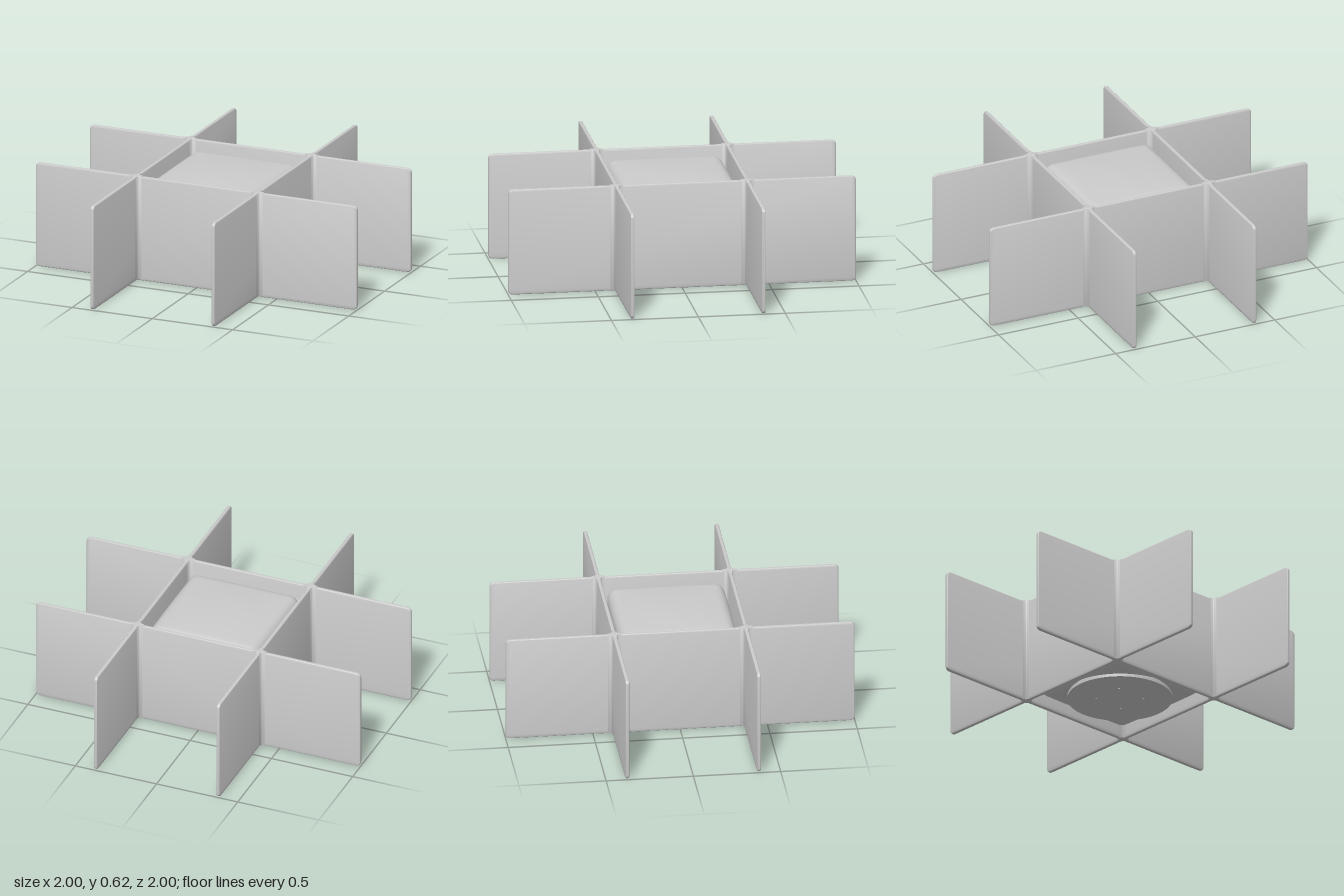
import * as THREE from 'three';
import { toCreasedNormals } from 'three/addons/utils/BufferGeometryUtils.js';

const GAP = 0.377;    // distance of each panel from the centre
const HALF = 0.011;   // half the panel thickness
const HEIGHT = 0.62;

const material = new THREE.MeshStandardMaterial({ color: 0xcccccc });

function addMesh(parent, name, geometry) {
  const mesh = new THREE.Mesh(geometry, material);
  mesh.name = name;
  parent.add(mesh);
  return mesh;
}

// Thin upright board with rounded corners and softened edges, lying in the XY plane
function panelGeometry() {
  const bevel = 0.008, r = 0.02;
  const w = 1 - bevel, y0 = bevel, y1 = HEIGHT - bevel;
  const s = new THREE.Shape();
  s.moveTo(-w + r, y0);
  s.lineTo(w - r, y0);
  s.quadraticCurveTo(w, y0, w, y0 + r);
  s.lineTo(w, y1 - r);
  s.quadraticCurveTo(w, y1, w - r, y1);
  s.lineTo(-w + r, y1);
  s.quadraticCurveTo(-w, y1, -w, y1 - r);
  s.lineTo(-w, y0 + r);
  s.quadraticCurveTo(-w, y0, -w + r, y0);
  const depth = 2 * (HALF - bevel);
  const g = new THREE.ExtrudeGeometry(s, {
    depth, bevelEnabled: true, bevelSize: bevel, bevelThickness: bevel, bevelSegments: 4, curveSegments: 6,
  });
  g.translate(0, 0, -depth / 2);
  return toCreasedNormals(g, 0.7);
}

// Post with four concave sides that blends two crossing panels
function filletGeometry() {
  const reach = 0.036, t = HALF - 0.003, bevel = 0.003;
  const s = new THREE.Shape();
  s.moveTo(reach, -t);
  s.lineTo(reach, t);
  s.quadraticCurveTo(t, t, t, reach);
  s.lineTo(-t, reach);
  s.quadraticCurveTo(-t, t, -reach, t);
  s.lineTo(-reach, -t);
  s.quadraticCurveTo(-t, -t, -t, -reach);
  s.lineTo(t, -reach);
  s.quadraticCurveTo(t, -t, reach, -t);
  const g = new THREE.ExtrudeGeometry(s, {
    depth: HEIGHT - 2 * bevel, bevelEnabled: true, bevelSize: bevel, bevelThickness: bevel, bevelSegments: 2, curveSegments: 8,
  });
  g.rotateX(-Math.PI / 2);
  g.translate(0, bevel + 0.003, 0);
  return toCreasedNormals(g, 0.7);
}

// Rounded block whose six sides swell gently outward
function cushionGeometry() {
  const half = new THREE.Vector3(0.335, 0.27, 0.335);
  const r = 0.055, n = 32;
  const g = new THREE.BoxGeometry(2, 2, 2, n, n, n);
  const pos = g.attributes.position;
  const p = new THREE.Vector3(), core = new THREE.Vector3();
  const inner = half.clone().subScalar(r);
  const spread = (u) => Math.sin(u * Math.PI / 2);   // crowds vertices towards the edges
  for (let i = 0; i < pos.count; i++) {
    p.fromBufferAttribute(pos, i);
    p.set(spread(p.x), spread(p.y), spread(p.z)).multiply(half);
    core.copy(p).clamp(inner.clone().negate(), inner);
    p.sub(core).setLength(r).add(core);
    const u = p.x / half.x, v = p.y / half.y, w = p.z / half.z;
    p.x += 0.01 * u * (1 - v * v) * (1 - w * w);
    p.y += 0.018 * v * (1 - u * u) * (1 - w * w);
    p.z += 0.01 * w * (1 - u * u) * (1 - v * v);
    pos.setXYZ(i, p.x, p.y, p.z);
  }
  g.deleteAttribute('uv');
  return toCreasedNormals(g, 0.8);
}

export function createModel() {
  const model = new THREE.Group();
  model.name = 'crossedPanelTable';

  // Two pairs of interlocking panels
  const panels = new THREE.Group();
  panels.name = 'panels';
  model.add(panels);
  const panel = panelGeometry(), fillet = filletGeometry();
  for (const side of [-1, 1]) {
    addMesh(panels, 'crosswisePanel', panel).position.z = side * GAP;
    const lengthwise = addMesh(panels, 'lengthwisePanel', panel);
    lengthwise.rotation.y = Math.PI / 2;
    lengthwise.position.x = side * GAP;
    for (const end of [-1, 1]) {
      addMesh(panels, 'crossingFillet', fillet).position.set(side * GAP, 0, end * GAP);
    }
  }

  // Padded block in the central bay
  addMesh(model, 'cushion', cushionGeometry()).position.y = 0.305;

  // Round base plate with four small fixings underneath
  const plate = addMesh(model, 'basePlate', new THREE.CylinderGeometry(0.3, 0.3, 0.03, 64));
  plate.position.y = 0.027;
  for (const x of [-0.095, 0.095]) {
    for (const z of [-0.095, 0.095]) {
      addMesh(model, 'baseFixing', new THREE.CylinderGeometry(0.006, 0.006, 0.006, 12)).position.set(x, 0.011, z);
    }
  }
  return model;
}
